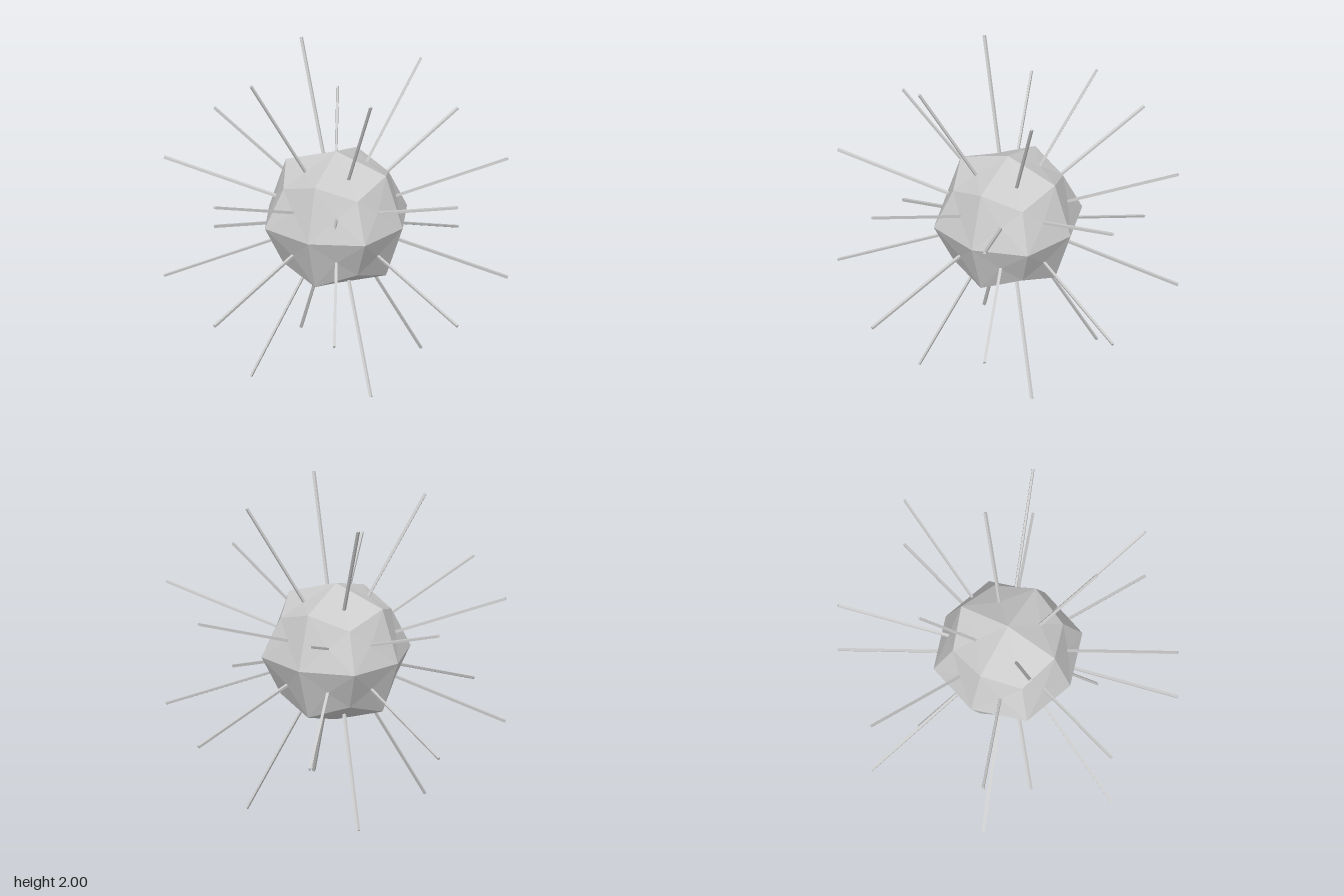
import * as THREE from 'three';

const R = 0.453;           // axis corner distance
const EDGE = R * 0.75;     // edge-midpoint coordinate
const CORNER = R * 0.5556; // cube-corner coordinate
const SPIKE = 0.05;        // spike section as a fraction of its facet
const TIP = 0.9945;        // reach of each spike along its main axis

function flatGeometry(triangles) {
  const geometry = new THREE.BufferGeometry().setFromPoints(triangles);
  geometry.computeVertexNormals();
  return geometry;
}

// The 24 kite facets of a rounded cube, four per axis direction
function makeFacets() {
  const facets = [];
  const signs = [-1, 1];
  for (let axis = 0; axis < 3; axis++)
    for (const s of signs) for (const su of signs) for (const sv of signs) {
      const point = (main, u, v) => {
        const p = new THREE.Vector3();
        p.setComponent(axis, s * main);
        p.setComponent((axis + 1) % 3, su * u);
        p.setComponent((axis + 2) % 3, sv * v);
        return p;
      };
      const corners = [point(R, 0, 0), point(EDGE, EDGE, 0),
        point(CORNER, CORNER, CORNER), point(EDGE, 0, EDGE)];
      if (s * su * sv < 0) corners.reverse(); // keep faces outward
      const centre = new THREE.Vector3();
      corners.forEach((p) => centre.addScaledVector(p, 0.25));
      const normal = point(1, 0.4, 0.4).normalize();
      const length = (TIP - Math.abs(centre.getComponent(axis))) / Math.abs(normal.getComponent(axis));
      facets.push({ corners, centre, normal, length });
    }
  return facets;
}

// Straight four-sided rod standing on a facet
function makeSpike({ corners, centre, normal, length }) {
  const base = corners.map((p) => centre.clone().lerp(p, SPIKE).addScaledVector(normal, -0.01));
  const tip = base.map((p) => p.clone().addScaledVector(normal, length + 0.01));
  const triangles = [tip[0], tip[1], tip[2], tip[0], tip[2], tip[3]];
  for (let i = 0; i < 4; i++) {
    const j = (i + 1) % 4;
    triangles.push(base[i], base[j], tip[j], base[i], tip[j], tip[i]);
  }
  return flatGeometry(triangles);
}

export function createModel() {
  const group = new THREE.Group();
  group.name = 'spikedBall';
  const material = new THREE.MeshStandardMaterial({ color: 0xcccccc, flatShading: true });
  const facets = makeFacets();

  // Core: each facet is a fan around its centre
  const triangles = [];
  for (const { corners, centre } of facets)
    corners.forEach((p, i) => triangles.push(centre, p, corners[(i + 1) % 4]));
  const core = new THREE.Mesh(flatGeometry(triangles), material);
  core.name = 'core';
  group.add(core);

  // One spike per facet
  const spikes = new THREE.Group();
  spikes.name = 'spikes';
  facets.forEach((facet, i) => {
    const spike = new THREE.Mesh(makeSpike(facet), material);
    spike.name = `spike${i + 1}`;
    spikes.add(spike);
  });
  group.add(spikes);

  group.position.y = 1;
  const model = new THREE.Group();
  model.name = 'model';
  model.add(group);
  return model;
}
